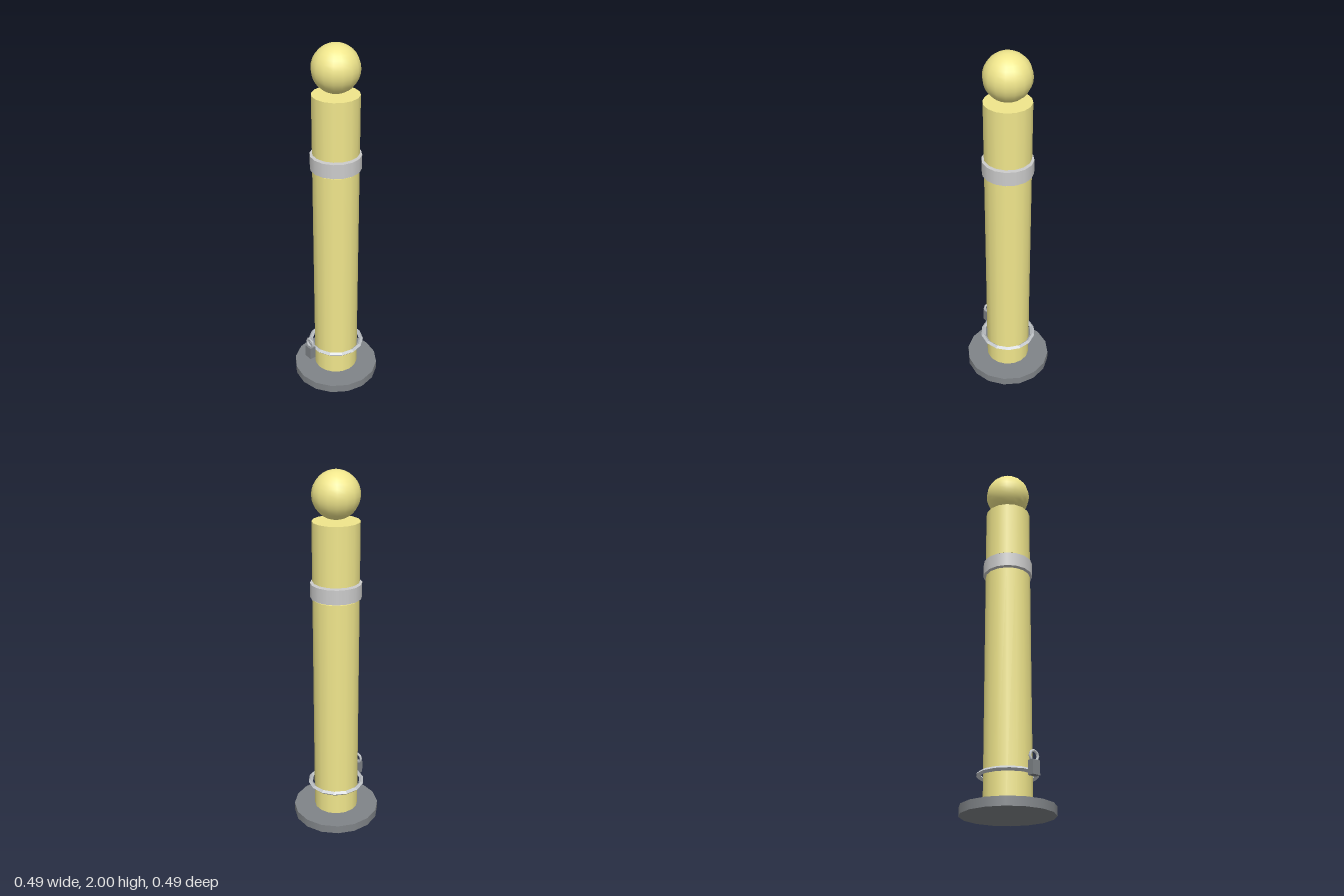
import * as THREE from 'three';

export function createModel() {
  const model = new THREE.Group();
  const paint = (color, flatShading = false) =>
    new THREE.MeshStandardMaterial({ color, flatShading });
  const yellow = paint(0xf0e68c);
  const white = paint(0xe8e8e8);
  const darkGrey = paint(0x808488);
  const steel = paint(0xc4c8cc, true);

  function add(name, geometry, material, y, z = 0) {
    const mesh = new THREE.Mesh(geometry, material);
    mesh.name = name;
    mesh.position.set(0, y, z);
    model.add(mesh);
    return mesh;
  }

  // Upright disc or column between two heights
  function column(name, radius, bottom, top, material) {
    const geometry = new THREE.CylinderGeometry(radius, radius, top - bottom, 16);
    return add(name, geometry, material, (bottom + top) / 2);
  }

  // Base plate, post in two lengths with the reflective band between them
  column('basePlate', 0.244, 0, 0.047, darkGrey);
  column('lowerPost', 0.125, 0.052, 1.329, yellow);
  column('reflectiveBand', 0.137, 1.337, 1.416, white);
  column('upperPost', 0.125, 1.424, 1.742, yellow);

  // Ball finial
  add('ballTop', new THREE.SphereGeometry(0.125, 16, 16), yellow, 1.875);

  // Locking ring around the foot of the post
  const ring = new THREE.TorusGeometry(0.149, 0.0125, 4, 14).rotateX(Math.PI / 2);
  add('lockingRing', ring, steel, 0.203);

  // Padlock in front of the ring
  add('padlockBody', new THREE.BoxGeometry(0.048, 0.074, 0.035), darkGrey, 0.206, 0.19);
  add('padlockShackle', new THREE.TorusGeometry(0.027, 0.0075, 6, 8), paint(0xc4c8cc), 0.265, 0.19);

  return model;
}
